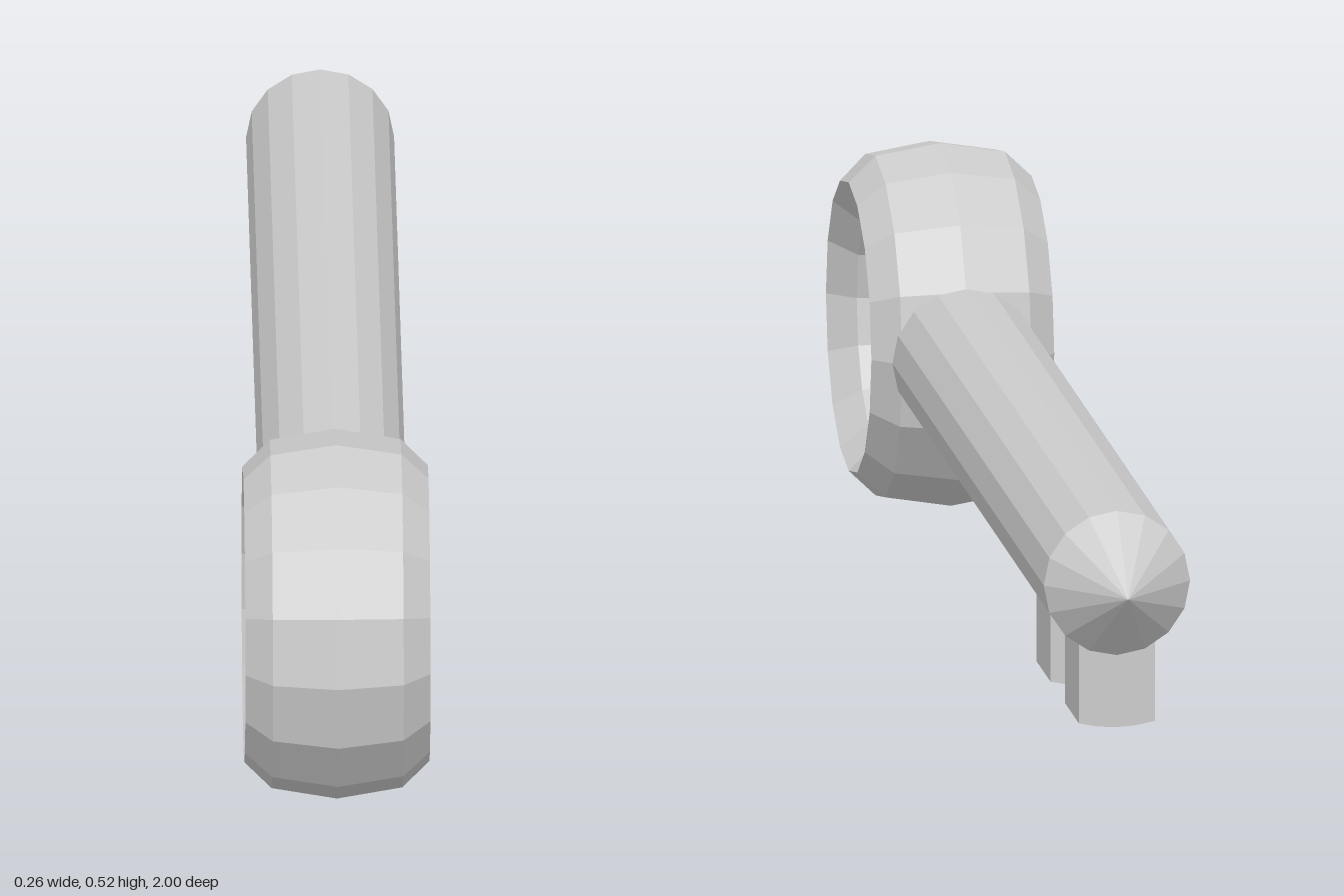
import * as THREE from 'three';

const AXIS_Y = 0.2625; // height of the shaft axis and ring centre
const R = 0.105;       // shaft radius

export function createModel() {
  const group = new THREE.Group();
  const material = new THREE.MeshStandardMaterial({ color: 0xcccccc, flatShading: true });

  const add = (name, geometry, z) => {
    const mesh = new THREE.Mesh(geometry, material);
    mesh.name = name;
    mesh.position.set(0, AXIS_Y, z);
    group.add(mesh);
  };

  // Ring handle: octagonal torus stretched along its axis, which lies on x
  const ring = new THREE.TorusGeometry(0.21, 0.0525, 8, 16);
  ring.scale(1, 1, 2.5);
  ring.rotateY(Math.PI / 2);
  add('ringHandle', ring, 0.7375);

  // Shaft, its front end buried in the ring wall
  const front = 0.525, back = -0.895;
  const shaft = new THREE.CylinderGeometry(R, R, front - back, 16);
  shaft.rotateX(-Math.PI / 2);
  add('shaft', shaft, (front + back) / 2);

  // Pointed tip
  const tip = new THREE.ConeGeometry(R, R, 16);
  tip.rotateX(-Math.PI / 2);
  add('tip', tip, back - R / 2);

  // Teeth: straight sides, underside curved concentrically with the shaft
  const halfWidth = 0.0545, reach = 0.21, depth = 0.131;
  const profile = new THREE.Shape();
  profile.moveTo(halfWidth, -0.06);
  profile.lineTo(-halfWidth, -0.06);
  for (let i = -2; i <= 2; i++) {
    const a = (i / 2) * Math.asin(halfWidth / reach);
    profile.lineTo(reach * Math.sin(a), -reach * Math.cos(a));
  }
  for (const [name, z] of [['frontTooth', -0.632], ['backTooth', back]]) {
    add(name, new THREE.ExtrudeGeometry(profile, { depth, bevelEnabled: false }), z);
  }

  return group;
}
